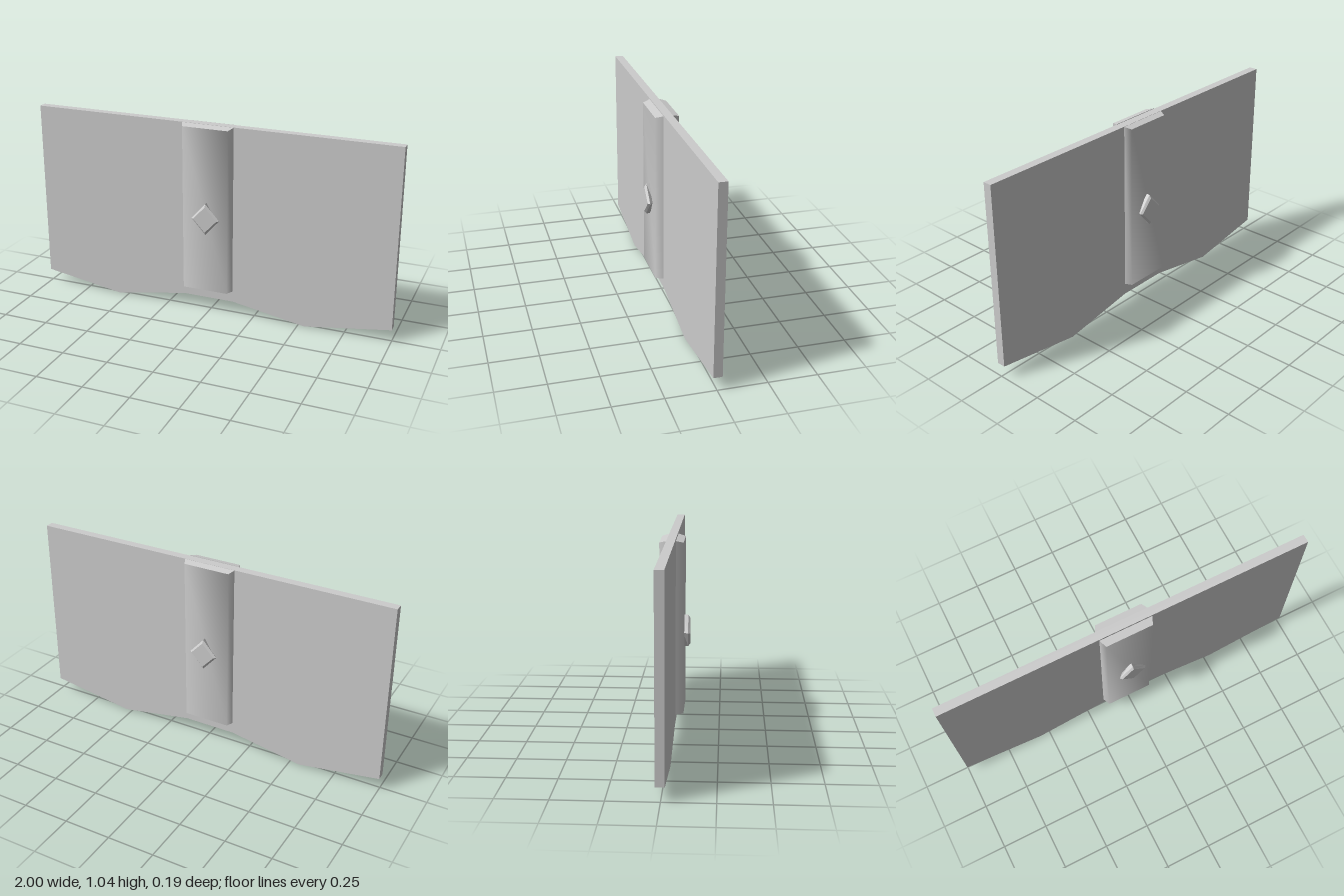
import * as THREE from 'three';
import { toCreasedNormals } from 'three/addons/utils/BufferGeometryUtils.js';

const TOP = 1.045, MID_X = -0.0125, MID_Z = 0.001, HALF = 0.0225;
const grey = new THREE.MeshStandardMaterial({ color: 0xcccccc });

const shapeOf = (pts) => new THREE.Shape(pts.map(([x, y]) => new THREE.Vector2(x, y)));

function addMesh(parent, name, geometry) {
  const mesh = new THREE.Mesh(geometry, grey);
  mesh.name = name;
  parent.add(mesh);
  return mesh;
}

// Flat panel with two shallow points along its lower edge
function panelGeometry() {
  const shape = shapeOf([
    [-1, 0.07], [-0.555, 0], [-0.155, 0.07], [0.13, 0.07],
    [0.535, 0], [1, 0.07], [1, TOP], [-1, TOP],
  ]);
  const g = new THREE.ExtrudeGeometry(shape, { depth: 2 * HALF, bevelEnabled: false });
  return g.translate(0, 0, -HALF - 0.003);
}

// Raised centre rib with sloping flanks and a slightly sloping top
function ribGeometry() {
  const bottom = 0.132, outer = 0.062;
  const shape = shapeOf([[-0.1425, -HALF], [-0.125, -outer], [0.125, -outer], [0.1425, -HALF]]);
  const g = new THREE.ExtrudeGeometry(shape, { depth: TOP - bottom, bevelEnabled: false });
  g.rotateX(-Math.PI / 2).translate(0, bottom, 0);
  const p = g.attributes.position;
  for (let i = 0; i < p.count; i++) {
    if (p.getY(i) > 1) p.setY(i, TOP - 0.01 * (p.getZ(i) - HALF) / (outer - HALF));
  }
  return toCreasedNormals(g, 1.2);
}

// Diamond stud: four-sided rings [z, half width, half height], closed by a flat face
function studGeometry() {
  const rings = [[0.055, 0.05, 0.086], [0.081, 0.077, 0.086], [0.092, 0.065, 0.07]];
  const verts = [], index = [];
  for (const [z, rx, ry] of rings) verts.push(rx, 0, z, 0, ry, z, -rx, 0, z, 0, -ry, z);
  for (let r = 0; r < rings.length - 1; r++) {
    for (let k = 0; k < 4; k++) {
      const a = r * 4 + k, b = r * 4 + (k + 1) % 4;
      index.push(a, b, b + 4, a, b + 4, a + 4);
    }
  }
  index.push(8, 9, 10, 8, 10, 11);
  const g = new THREE.BufferGeometry();
  g.setAttribute('position', new THREE.Float32BufferAttribute(verts, 3));
  g.setIndex(index);
  const flat = g.toNonIndexed();
  flat.computeVertexNormals();
  return flat;
}

export function createModel() {
  const model = new THREE.Group();
  model.name = 'panel';
  addMesh(model, 'board', panelGeometry());

  // The same rib and stud on both faces
  for (const side of ['front', 'back']) {
    const half = new THREE.Group();
    half.name = side + 'Rib';
    half.position.set(MID_X, 0, MID_Z);
    if (side === 'back') half.rotation.y = Math.PI;
    addMesh(half, side + 'RibBody', ribGeometry());
    const stud = addMesh(half, side + 'Stud', studGeometry());
    stud.position.set(side === 'front' ? 0.0075 : -0.0075, 0.549, 0);
    stud.rotation.y = side === 'front' ? 0.03 : 0;
    model.add(half);
  }
  return model;
}
